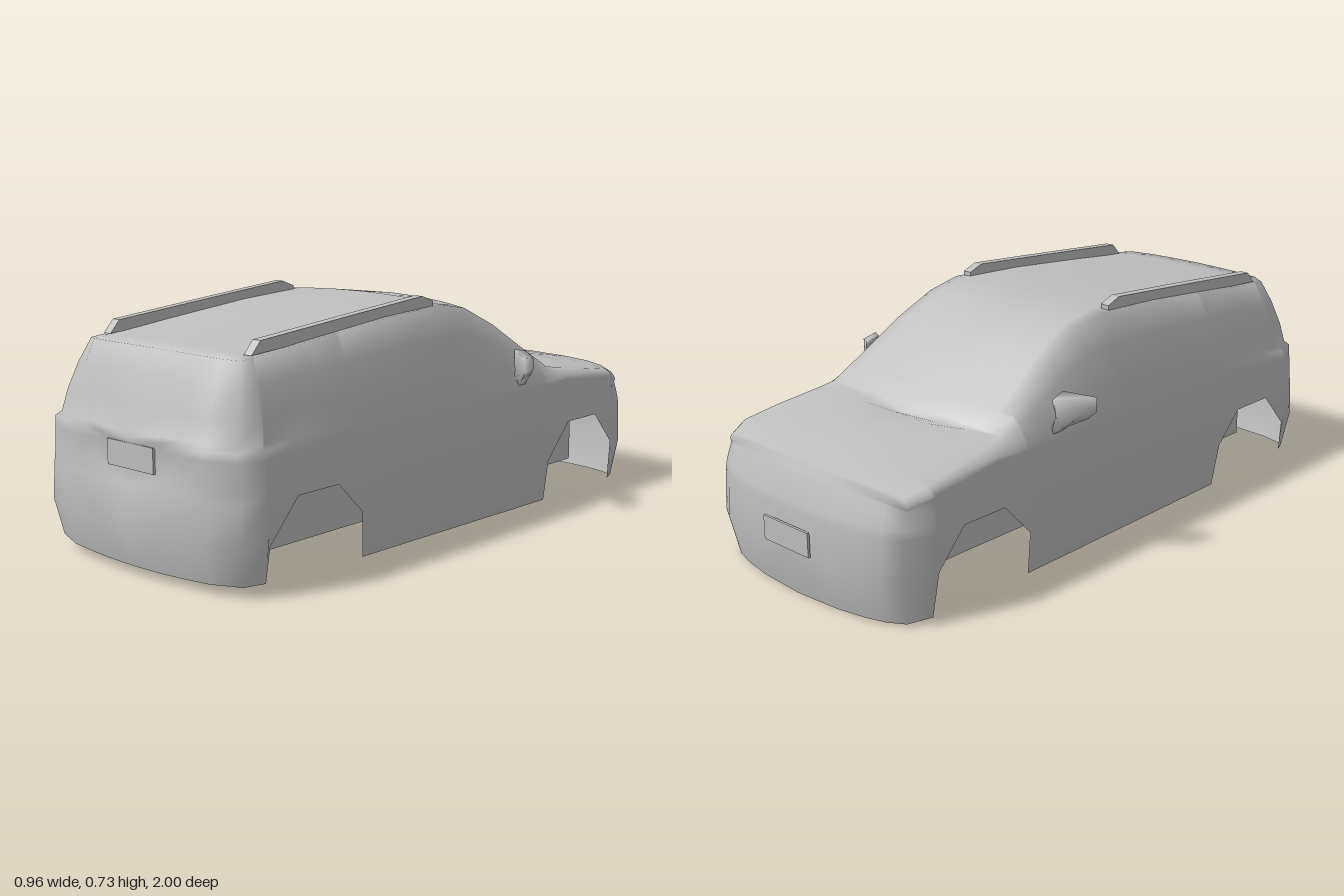
import * as THREE from 'three';
import { mergeGeometries, mergeVertices } from 'three/addons/utils/BufferGeometryUtils.js';

// Piecewise linear lookup in a list of [input, value] pairs (ascending input)
function lookup(table, v) {
  if (v <= table[0][0]) return table[0][1];
  for (let i = 1; i < table.length; i++) {
    const [a, p] = table[i - 1], [b, q] = table[i];
    if (v <= b) return p + (q - p) * (v - a) / (b - a);
  }
  return table[table.length - 1][1];
}

// One half of a surface from rows of points; side is 1 or -1
function halfGrid(rows, side) {
  const n = rows[0].length;
  const g = new THREE.BufferGeometry();
  const pos = rows.flat().flatMap(([x, y, z]) => [x * side, y, z]);
  const idx = [];
  for (let i = 0; i < rows.length - 1; i++) {
    for (let j = 0; j < n - 1; j++) {
      const a = i * n + j, b = a + n, c = b + 1, d = a + 1;
      if (side > 0) idx.push(a, b, c, a, c, d);
      else idx.push(a, c, b, a, d, c);
    }
  }
  g.setAttribute('position', new THREE.Float32BufferAttribute(pos, 3));
  g.setIndex(idx);
  return g;
}

// Several half grids mirrored and welded into one smooth surface
function smoothShell(...grids) {
  const halves = grids.flatMap((rows) => [halfGrid(rows, 1), halfGrid(rows, -1)]);
  const g = mergeVertices(mergeGeometries(halves), 1e-4);
  g.computeVertexNormals();
  return g;
}

// Columns around the half body: plan x, plan z, bottom y, then top edge x, y, z
const tailColumns = [
  [0, 1.0, 0.025, 0, 0.638, 0.885],
  [0.13, 0.995, 0.025, 0.13, 0.637, 0.882],
  [0.21, 0.988, 0.026, 0.2, 0.636, 0.878],
  [0.3, 0.975, 0.028, 0.27, 0.634, 0.87],
  [0.4, 0.94, 0.032, 0.315, 0.63, 0.845],
];
const noseColumns = [
  [0.395, -0.92, 0.006, 0.37, 0.378, -0.89],
  [0.34, -0.95, 0.004, 0.315, 0.392, -0.91],
  [0.27, -0.97, 0.003, 0.25, 0.399, -0.921],
  [0.17, -0.987, 0.001, 0.16, 0.403, -0.931],
  [0, -0.997, 0, 0, 0.406, -0.935],
];
// Side stations from tail to nose: z, bottom y (tracing sills and wheel arches)
const sideStations = [
  [0.856, 0.035], [0.85, 0.14], [0.74, 0.26], [0.58, 0.26], [0.48, 0.16], [0.465, 0.02],
  [0.25, 0.018], [0, 0.015], [-0.12, 0.014], [-0.25, 0.012], [-0.38, 0.011], [-0.437, 0.01],
  [-0.44, 0.145], [-0.5, 0.208], [-0.55, 0.26], [-0.71, 0.26], [-0.81, 0.15], [-0.822, 0.012],
];
const edgeX = [[-0.82, 0.395], [-0.71, 0.39], [-0.55, 0.375], [-0.5, 0.365], [-0.38, 0.347],
  [-0.25, 0.33], [-0.12, 0.317], [0, 0.32], [0.25, 0.325], [0.58, 0.325], [0.8, 0.32]];
const edgeY = [[-0.82, 0.398], [-0.71, 0.415], [-0.55, 0.436], [-0.5, 0.447], [-0.38, 0.525],
  [-0.25, 0.61], [-0.12, 0.675], [0, 0.698], [0.25, 0.685], [0.58, 0.655], [0.8, 0.633]];
const centreY = [[-0.935, 0.406], [-0.82, 0.427], [-0.71, 0.444], [-0.55, 0.46], [-0.5, 0.464],
  [-0.38, 0.547], [-0.25, 0.632], [-0.12, 0.695], [0, 0.713], [0.3, 0.698], [0.6, 0.668], [0.885, 0.638]];
// Width and end profiles by height
const widthAt = [[0, 0.96], [0.15, 1], [0.26, 1], [0.3, 0.99], [0.41, 0.965]];
const tailAt = [[0, 0.962], [0.1, 0.99], [0.15, 0.998], [0.25, 0.995], [0.29, 0.967], [0.375, 0.965], [0.4, 0.986]];
const tailSideAt = [[0, 0.962], [0.15, 0.998], [0.25, 0.995], [0.29, 0.975], [0.4, 0.983]];
const tailCornerAt = [[0, 0.965], [0.15, 1], [0.3, 0.987], [0.41, 0.99]];
const noseAt = [[0, 0.968], [0.1, 0.998], [0.2, 0.998], [0.3, 0.982], [0.37, 0.955]];

function endProfile(px, pz) {
  if (pz < -0.9) return noseAt;
  if (pz < 0.9) return [[0, 1]];
  if (px < 0.15) return tailAt;
  return px < 0.25 ? tailSideAt : tailCornerAt;
}

function wallColumn([px, pz, yb, tx, ty, tz]) {
  const belt = Math.min(0.4, ty - 0.035);
  const ys = [yb, (yb + 0.265) / 2, 0.265, 0.29, belt - 0.028, belt];
  const end = endProfile(px, pz);
  const pts = ys.map((y) => [px * lookup(widthAt, y), y, pz * lookup(end, y)]);
  const b = pts[5];
  // Rear lamps end in a small shelf below the pillars
  const shelf = pz > 0.7 ? 0.14 : 0;
  for (const t of [0.06, 0.35, 0.7, 1]) {
    const s = t + shelf * (1 - t);
    const bulge = 0.01 * Math.sin(Math.PI * t);
    pts.push([b[0] + (tx - b[0]) * s + (tx > 0.3 ? bulge : 0), b[1] + (ty - b[1]) * t,
      b[2] + (tz - b[2]) * s + (pz > 0.9 ? bulge * 0.7 : 0)]);
  }
  return pts;
}

export function createModel() {
  const car = new THREE.Group();
  car.name = 'carBody';
  const paint = new THREE.MeshStandardMaterial({ color: 0xbfbfbf, side: THREE.DoubleSide });
  paint.name = 'plain grey';
  const add = (name, geometry) => {
    const m = new THREE.Mesh(geometry, paint);
    m.name = name;
    car.add(m);
    return m;
  };

  // Side, tail and nose walls in one wrap
  const sideColumns = sideStations.map(([z, yb]) => {
    const tz = z > 0.7 ? 0.7 + (z - 0.7) * 0.65 : z;
    return [0.427, z, yb, lookup(edgeX, tz), lookup(edgeY, tz), tz];
  });
  const walls = [...tailColumns, ...sideColumns, ...noseColumns].map(wallColumn);

  // Roof with windscreen, and bonnet, spanning the top edges of the walls
  const across = [1, 0.86, 0.68, 0.4, 0];
  const tops = (cols) => cols.map((c) => c.slice(3));
  const capRow = ([, , , tx, ty, tz], dip) => across.map((k) => {
    const bow = 1 - k * k;
    const c = lookup(centreY, tz);
    const sweep = tz < -0.05 && tz > -0.56 ? 0.025 : 0;
    return [tx * k, ty + (c - ty - dip) * bow, tz - sweep * bow];
  });
  const roofRows = sideColumns.filter((c) => c[1] >= -0.5).map((c) => capRow(c, 0));
  // The bonnet dips below the foot of the windscreen
  const bonnetRows = sideColumns.filter((c) => c[1] <= -0.5)
    .map((c) => capRow(c, c[1] === -0.5 ? 0.03 : c[1] === -0.55 ? 0.008 : 0));
  add('bodyShell', smoothShell(walls, [tops(tailColumns).reverse(), ...roofRows, ...bonnetRows,
    tops(noseColumns)]));

  // Number plates, left blank
  const rearPlate = add('rearPlate', new THREE.BoxGeometry(0.195, 0.075, 0.008));
  rearPlate.position.set(0, 0.343, 0.968);
  const nosePlate = add('nosePlate', new THREE.BoxGeometry(0.195, 0.075, 0.008));
  nosePlate.position.set(0, 0.19, -0.996);

  // Roof rail profile, drawn along z and extruded across x
  const railShape = new THREE.Shape([[-0.8, 0.638], [-0.765, 0.676], [-0.4, 0.706], [-0.08, 0.731],
    [-0.03, 0.712], [-0.03, 0.69], [-0.4, 0.665]].map(([a, b]) => new THREE.Vector2(a, b)));
  // Door mirror outline seen along z, swept back by a shear
  const mirrorShape = new THREE.Shape([[0.39, 0.405], [0.402, 0.41], [0.425, 0.432], [0.462, 0.452],
    [0.482, 0.475], [0.481, 0.52], [0.4, 0.535], [0.395, 0.525], [0.407, 0.47], [0.403, 0.445]]
    .map(([a, b]) => new THREE.Vector2(a, b)));

  for (const s of [1, -1]) {
    const label = s > 0 ? 'left' : 'right';

    const rail = new THREE.ExtrudeGeometry(railShape, { depth: 0.03, bevelEnabled: false });
    rail.rotateY(Math.PI / 2);
    rail.translate(s * 0.297 - 0.015, 0, 0);
    add(label + 'RoofRail', rail);

    // The forward shell of the mirror is a little smaller than its glass side
    const solid = new THREE.ExtrudeGeometry(mirrorShape, { depth: 0.055, bevelEnabled: false });
    solid.deleteAttribute('normal');
    solid.deleteAttribute('uv');
    const door = mergeVertices(solid, 1e-4);
    const p = door.attributes.position;
    for (let i = 0; i < p.count; i++) {
      const head = p.getY(i) > 0.44;
      const k = head && p.getZ(i) < 0.01 ? 0.78 : 1;
      const x = 0.435 + (p.getX(i) - 0.435) * k;
      const y = head ? 0.49 + (p.getY(i) - 0.49) * k : p.getY(i);
      p.setXYZ(i, x, y, p.getZ(i) * (head ? 1 : 0.6) - 0.337 + (x - 0.39) * 0.7);
    }
    door.computeVertexNormals();
    add(label + 'DoorMirror', door).scale.x = s;

    // Flat inner panel behind the wheel openings
    const inner = new THREE.PlaneGeometry(1.74, 0.335);
    inner.rotateY(s * Math.PI / 2);
    inner.translate(s * 0.222, 0.2125, 0.005);
    add(label + 'InnerPanel', inner);
  }
  return car;
}
